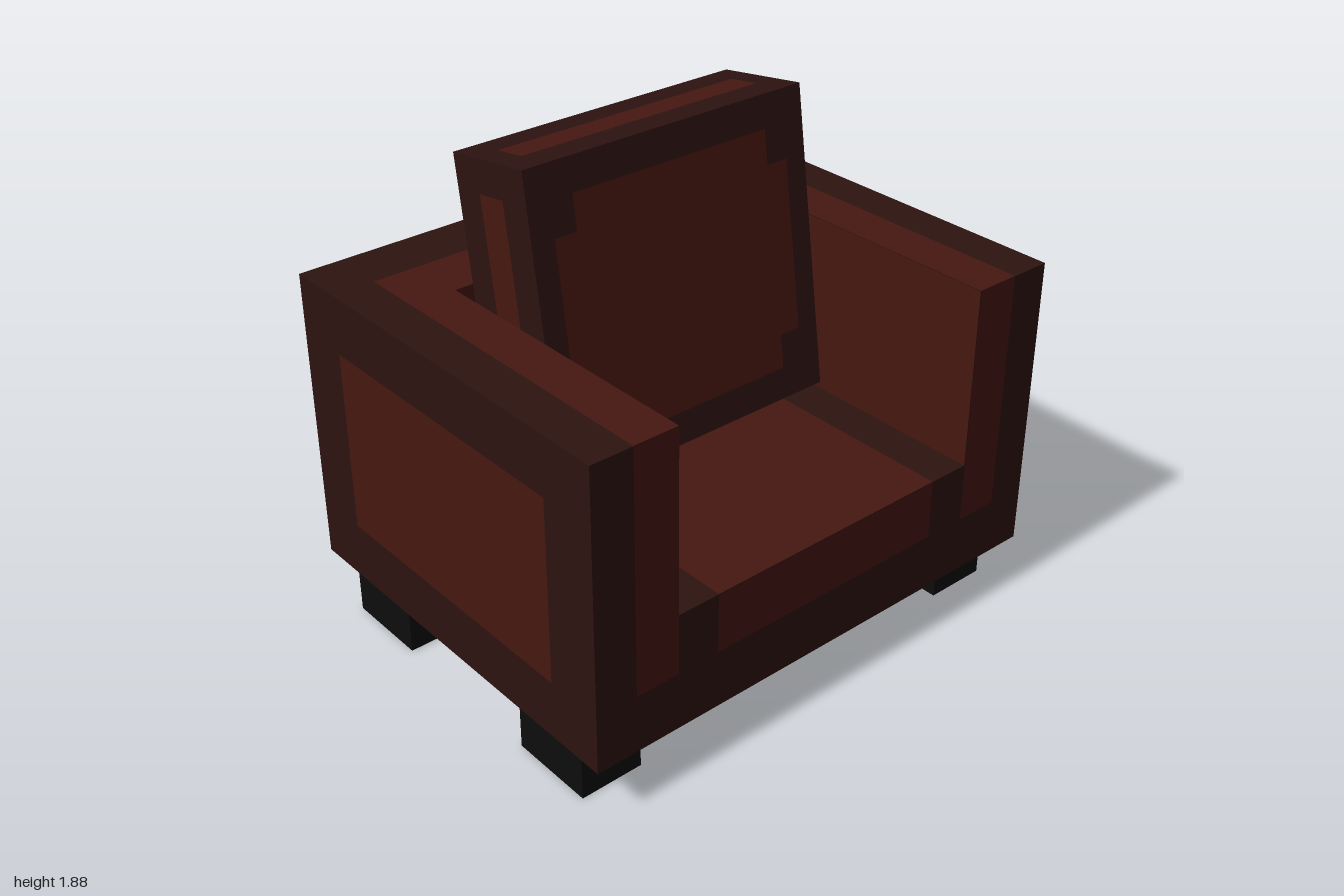
import * as THREE from 'three';

const mat = (color) => new THREE.MeshStandardMaterial({ color, flatShading: true });
const LIFT = 0.002; // panels sit just proud of the frame

// Box from its x, y and z ranges
function box(parent, name, material, [x0, x1], [y0, y1], [z0, z1]) {
  const mesh = new THREE.Mesh(new THREE.BoxGeometry(x1 - x0, y1 - y0, z1 - z0), material);
  mesh.position.set((x0 + x1) / 2, (y0 + y1) / 2, (z0 + z1) / 2);
  mesh.name = name;
  parent.add(mesh);
  return mesh;
}

// Flat rectangle facing one axis direction, at a distance along that axis.
// u, v are ranges along (z, y) for x faces, (x, z) for y faces, (x, y) for z faces.
function panel(parent, name, material, axis, sign, at, [u0, u1], [v0, v1]) {
  const mesh = new THREE.Mesh(new THREE.PlaneGeometry(u1 - u0, v1 - v0), material);
  const u = (u0 + u1) / 2, v = (v0 + v1) / 2, d = at + sign * LIFT;
  if (axis === 'x') {
    mesh.rotation.y = sign * Math.PI / 2;
    mesh.position.set(d, v, u);
  } else if (axis === 'y') {
    mesh.rotation.x = -sign * Math.PI / 2;
    mesh.position.set(u, d, v);
  } else {
    if (sign < 0) mesh.rotation.y = Math.PI;
    mesh.position.set(u, v, d);
  }
  mesh.name = name;
  parent.add(mesh);
}

// Range mirrored to the given side
const side = (s, a, b) => (s > 0 ? [a, b] : [-b, -a]);

export function createModel() {
  const chair = new THREE.Group();
  chair.name = 'armchair';
  const frame = mat(0x2d1310), red = mat(0x471811), black = mat(0x0d0d0d);
  const IN = 0.667, BOTTOM = 0.215, SEAT = 0.67, TOP = 1.36, WALL = -0.35;

  // Seat base and back wall
  const seat = new THREE.Group();
  seat.name = 'seat';
  chair.add(seat);
  box(seat, 'seatBase', frame, [-IN, IN], [BOTTOM, SEAT], [-0.8, 0.8]);
  panel(seat, 'seatFrontPanel', red, 'z', 1, 0.8, [-0.5, 0.5], [0.44, SEAT]);
  panel(seat, 'seatTopPanel', red, 'y', 1, SEAT, [-0.5, 0.5], [-0.12, 0.8]);
  panel(seat, 'seatCornerPanel', red, 'y', 1, SEAT, [0.5, IN], [WALL, -0.12]);
  panel(seat, 'underside', red, 'y', -1, BOTTOM, [-IN, IN], [-0.8, 0.8]);

  const back = new THREE.Group();
  back.name = 'back';
  chair.add(back);
  box(back, 'backWall', frame, [-IN, IN], [SEAT, TOP], [-0.8, WALL]);
  panel(back, 'backInnerPanel', red, 'z', 1, WALL, [-IN, IN], [SEAT, TOP]);
  panel(back, 'backRimPanel', red, 'y', 1, TOP, [-IN, IN], [-0.58, WALL]);
  panel(back, 'backOuterPanel', red, 'z', -1, -0.8, [-0.84, 0.84], [0.44, 1.14]);

  // Arms and feet
  for (const s of [1, -1]) {
    const arm = new THREE.Group();
    arm.name = s > 0 ? 'leftArm' : 'rightArm';
    chair.add(arm);
    box(arm, 'armBody', frame, side(s, IN, 1), [BOTTOM, TOP], [-0.8, 0.8]);
    panel(arm, 'armOuterPanel', red, 'x', s, s, [-0.575, 0.575], [0.44, 1.14]);
    panel(arm, 'armInnerPanel', red, 'x', -s, s * IN, [WALL, 0.8], [SEAT, TOP]);
    panel(arm, 'armFrontPanel', red, 'z', 1, 0.8, side(s, IN, 0.84), [0.44, TOP]);
    panel(arm, 'armRimPanel', red, 'y', 1, TOP, side(s, IN, 0.84), [-0.58, 0.8]);
    for (const z of [1, -1]) {
      box(chair, z > 0 ? 'frontFoot' : 'backFoot', black, side(s, 0.72, 0.965), [0, BOTTOM], side(z, 0.335, 0.67));
    }
  }

  // Leaning back cushion
  const cushion = new THREE.Group();
  cushion.name = 'backCushion';
  cushion.position.set(0, 1.285, -0.135);
  cushion.rotation.x = -0.148;
  chair.add(cushion);
  const H = 0.572, D = 0.192, W = 0.6;
  box(cushion, 'cushionBody', frame, [-W, W], [-H, H], [-D, D]);
  // Front panel with stepped corners
  panel(cushion, 'cushionFrontPanel', red, 'z', 1, D, [-0.51, 0.51], [-0.32, 0.32]);
  for (const s of [1, -1]) {
    panel(cushion, 'cushionFrontStep', red, 'z', 1, D, [-0.42, 0.42], side(s, 0.32, 0.45));
    panel(cushion, 'cushionSidePanel', red, 'x', s, s * W, [-0.064, 0.064], [-0.45, 0.45]);
    panel(cushion, 'cushionEndPanel', red, 'y', s, s * H, [-0.51, 0.51], [-0.064, 0.064]);
  }
  panel(cushion, 'cushionBackPanel', red, 'z', -1, -D, [-0.51, 0.51], [-0.45, 0.45]);

  return chair;
}
